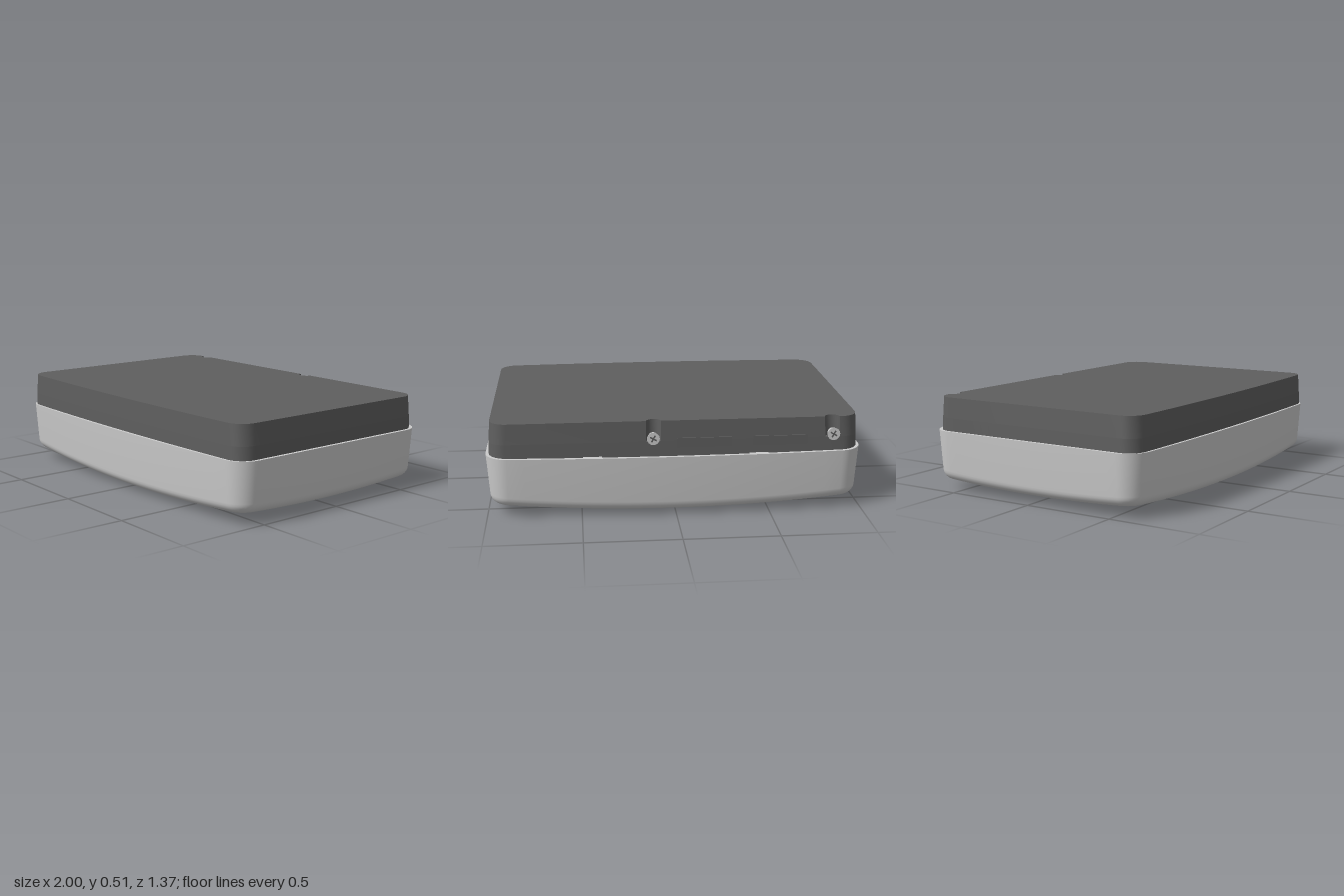
import * as THREE from 'three';
import { toCreasedNormals } from 'three/addons/utils/BufferGeometryUtils.js';

const grey = new THREE.MeshStandardMaterial({ color: 0xcccccc });
const dark = new THREE.MeshStandardMaterial({ color: 0x5e5e5e });
const red = new THREE.MeshStandardMaterial({ color: 0xaa2222 });
const green = new THREE.MeshStandardMaterial({ color: 0x2f8a2f });

const RIM = 0.33, TOP = 0.51, FILLET = 0.05, POCKET = 0.012;
const SCREWS = [0.12, -0.84];
const V2 = (x, s) => new THREE.Vector2(x, s);

// Plans are drawn in (x, s) with s = -z, counter-clockwise seen from above.
const dome = (x, s) => 0.045 * x * x + 0.06 * s * s;

// Rounded rectangle whose front and back may bow outward, with optional notches in the back
function outline(hw, hf, hb, r, bowF, bowB, notches = []) {
  const corners = [[hw - r, r - hf], [hw - r, hb - r], [r - hw, hb - r], [r - hw, r - hf]];
  const pts = [];
  corners.forEach(([cx, cs], k) => {
    for (let i = 0; i <= 8; i++) {
      const a = (k - 1 + i / 8) * Math.PI / 2;
      pts.push(V2(cx + r * Math.cos(a), cs + r * Math.sin(a)));
    }
    if (k === 1 && notches.length) {
      for (const x of notches) for (let i = 0; i <= 10; i++) {
        const a = i / 10 * Math.PI;
        pts.push(V2(x + 0.04 * Math.cos(a), hb - 0.035 * Math.sin(a)));
      }
      return;
    }
    const a = pts[pts.length - 1].clone(), [nx, ns] = corners[(k + 1) % 4];
    const end = (k + 0) * Math.PI / 2;
    const b = V2(nx + r * Math.cos(end), ns + r * Math.sin(end));
    for (let i = 1; i < 20; i++) pts.push(a.clone().lerp(b, i / 20));
  });
  pts.forEach(p => { p.y *= 1 + (p.y < 0 ? bowF : bowB) * (1 - p.x * p.x); });
  return pts;
}

// Skin over closed loops of equal length
function loft(loops) {
  const n = loops[0].length, index = [];
  for (let i = 0; i < loops.length - 1; i++) for (let j = 0; j < n; j++) {
    const a = i * n + j, b = i * n + (j + 1) % n;
    index.push(a, b, b + n, a, b + n, a + n);
  }
  const g = new THREE.BufferGeometry().setFromPoints(loops.flat());
  g.setIndex(index);
  return toCreasedNormals(g, 0.6);
}

const onDome = (pts, offset) => pts.map(p => new THREE.Vector3(p.x, dome(p.x, p.y) + offset, -p.y));

// Downward domed face with holes, subdivided so it follows the curve
function domeFace(contour, holes, offset) {
  const all = [contour, ...holes].flat();
  let tris = THREE.ShapeUtils.triangulateShape(contour, holes).map(f => f.map(i => all[i]));
  for (let k = 0; k < 3; k++) tris = tris.flatMap(([a, b, c]) => {
    const ab = a.clone().lerp(b, 0.5), bc = b.clone().lerp(c, 0.5), ca = c.clone().lerp(a, 0.5);
    return [[a, ab, ca], [ab, b, bc], [ca, bc, c], [ab, bc, ca]];
  });
  const pts = tris.flatMap(([a, b, c]) => [a, c, b]);
  const g = new THREE.BufferGeometry().setFromPoints(onDome(pts, offset));
  const normals = pts.flatMap(p => new THREE.Vector3(0.09 * p.x, -1, -0.12 * p.y).normalize().toArray());
  g.setAttribute('normal', new THREE.Float32BufferAttribute(normals, 3));
  return g;
}

// Smooth closed plan through a few [x, z] points
function softPlan(points) {
  const curve = new THREE.CatmullRomCurve3(points.map(([x, z]) => new THREE.Vector3(x, -z, 0)), true, 'catmullrom', 0.35);
  const pts = curve.getPoints(56).slice(0, -1).map(p => V2(p.x, p.y));
  return THREE.ShapeUtils.isClockWise(pts) ? pts.reverse() : pts;
}

function circle(x, z, r) {
  return Array.from({ length: 32 }, (_, i) => {
    const a = i / 32 * Math.PI * 2;
    return V2(x + r * Math.cos(a), -z + r * Math.sin(a));
  });
}

// Upright slab from a plan, narrowing slightly above the rim
function slab(plan, y0, y1) {
  const g = new THREE.ExtrudeGeometry(new THREE.Shape(plan), { depth: y1 - y0, bevelEnabled: false });
  g.rotateX(-Math.PI / 2).translate(0, y0, 0);
  const p = g.attributes.position;
  for (let i = 0; i < p.count; i++) {
    const k = 1 - 0.07 * Math.max(0, p.getY(i) - RIM);
    p.setX(i, p.getX(i) * k);
    p.setZ(i, p.getZ(i) * k);
  }
  return toCreasedNormals(g, 0.5);
}

export function createModel() {
  const model = new THREE.Group();
  const add = (name, geometry, material = grey, parent = model) => {
    const mesh = new THREE.Mesh(geometry, material);
    mesh.name = name;
    parent.add(mesh);
    return mesh;
  };

  // Control panels on the underside: plan, buttons and indicator lights
  const panels = [
    {
      plan: softPlan([[0.46, -0.57], [0.49, -0.48], [0.48, -0.36], [0.42, -0.29], [0.16, -0.285], [-0.1, -0.29],
        [-0.2, -0.36], [-0.23, -0.48], [-0.15, -0.57], [0, -0.59], [0.25, -0.59]]),
      buttons: [[0.16, -0.49], [-0.07, -0.49]],
      lights: [[0.39, -0.34, red], [0.16, -0.34, red], [-0.07, -0.34, red]],
    },
    {
      plan: softPlan([[-0.5, -0.56], [-0.65, -0.575], [-0.82, -0.565], [-0.86, -0.52], [-0.86, -0.39],
        [-0.82, -0.33], [-0.65, -0.26], [-0.58, -0.27], [-0.5, -0.38], [-0.47, -0.5]]),
      buttons: [[-0.6, -0.47]],
      lights: [[-0.76, -0.48, green]],
    },
  ];

  // Cover: rounded bottom edge, tapered wall and a thin open rim
  const ring = inset => outline(0.985 - inset, 0.635 - inset, 0.635 - inset, 0.1 - inset, 0.045, 0.055);
  const loops = [];
  for (let i = 6; i >= 0; i--) {
    const a = i / 6 * Math.PI / 2;
    loops.push(onDome(ring(FILLET * (1 - Math.cos(a))), FILLET * (1 - Math.sin(a))));
  }
  const level = (inset, y) => ring(inset).map(p => new THREE.Vector3(p.x, y, -p.y));
  loops.push(level(-0.015, RIM), level(0.003, RIM), level(0.003, 0.28));
  add('coverShell', loft(loops));
  add('coverBottom', domeFace(ring(FILLET), panels.map(p => p.plan), 0));

  panels.forEach(({ plan, buttons, lights }, k) => {
    const panel = new THREE.Group();
    panel.name = `controlPanel${k + 1}`;
    model.add(panel);
    add('panelWall', loft([onDome(plan, POCKET), onDome(plan, 0)]), grey, panel);
    add('panelFloor', domeFace(plan, buttons.map(([x, z]) => circle(x, z, 0.078)), POCKET), grey, panel);
    // Dished buttons: [radius, depth] from the centre outward
    for (const [x, z] of buttons) {
      const dish = [[0, 0.03], [0.025, 0.028], [0.045, 0.023], [0.064, 0.014], [0.07, 0.009], [0.078, 0.009], [0.078, 0]];
      add('button', loft(dish.map(([r, d]) => onDome(circle(x, z, r), POCKET + d))), grey, panel);
    }
    for (const [x, z, material] of lights) {
      add('indicatorLight', new THREE.CylinderGeometry(0.018, 0.016, 0.01, 16), material, panel)
        .position.set(x, dome(x, z) + POCKET, z);
    }
  });

  // Body: flange inside the cover, plain lower part, notched upper part
  add('bodyFlange', slab(ring(0.004), 0.2, 0.3), dark);
  add('bodyLower', slab(outline(0.985, 0.64, 0.63, 0.09, 0.04, 0), 0.25, 0.4), dark);
  add('bodyUpper', slab(outline(0.985, 0.64, 0.63, 0.09, 0.04, 0, SCREWS), 0.4, TOP), dark);

  // Screws sitting in the back notches
  for (const x of SCREWS) {
    const screw = new THREE.Group();
    screw.name = 'screw';
    screw.position.set(x, 0.415, -0.615);
    const head = new THREE.CylinderGeometry(0.034, 0.026, 0.036, 24);
    head.rotateX(Math.PI / 2).rotateY(Math.PI);
    head.scale(1, 1, 1);
    add('screwHead', head, grey, screw);
    for (const turn of [0, Math.PI / 2]) {
      add('screwSlot', new THREE.BoxGeometry(0.04, 0.008, 0.004), dark, screw).position.z = -0.0175;
      screw.children[screw.children.length - 1].rotation.z = turn + 0.5;
    }
    model.add(screw);
  }

  // Shallow plates on the back of the body
  for (const x of [-0.15, -0.555]) {
    add('backPlate', new THREE.BoxGeometry(0.29, 0.05, 0.01), dark).position.set(x, 0.39, -0.6275);
  }

  // Latch tabs between cover and body
  for (const x of [-0.44, 0.44]) {
    add('latchTab', new THREE.BoxGeometry(0.1, 0.05, 0.026)).position.set(x, 0.3, -0.645);
  }
  return model;
}
